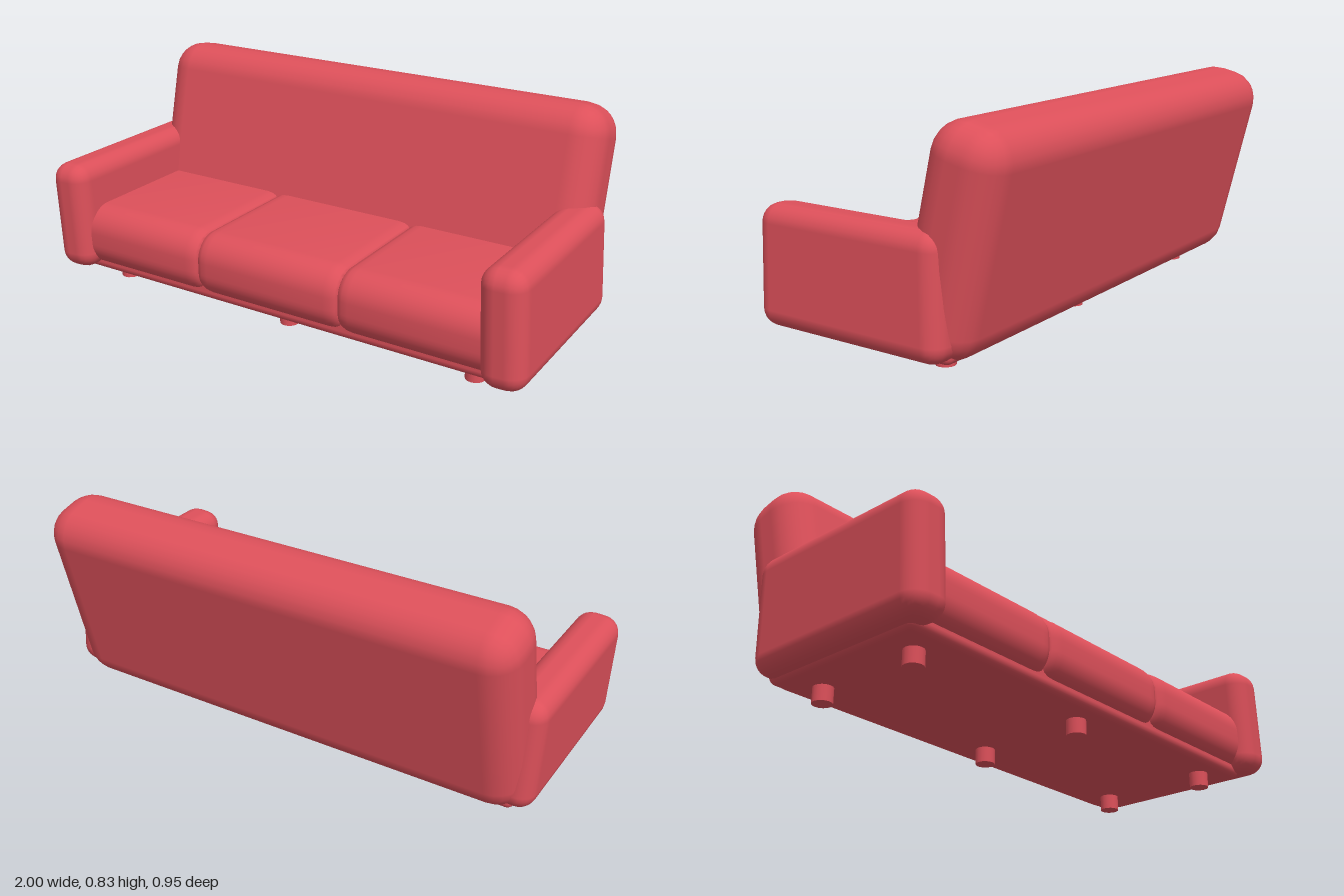
import * as THREE from 'three';
import { RoundedBoxGeometry } from 'three/addons/geometries/RoundedBoxGeometry.js';
import { toCreasedNormals } from 'three/addons/utils/BufferGeometryUtils.js';

const fabric = new THREE.MeshStandardMaterial({ color: 0xdd505a });
fabric.name = 'redFabric';

function add(group, name, geometry, x, y, z) {
  const mesh = new THREE.Mesh(geometry, fabric);
  mesh.name = name;
  mesh.position.set(x, y, z);
  group.add(mesh);
  return mesh;
}

// Side profile of a seat cushion: a rounded rectangle
function cushionProfile(w, h, r) {
  const s = new THREE.Shape();
  const x = w / 2 - r, y = h / 2 - r;
  s.absarc(x, y, r, 0, Math.PI / 2);
  s.absarc(-x, y, r, Math.PI / 2, Math.PI);
  s.absarc(-x, -y, r, Math.PI, Math.PI * 1.5);
  s.absarc(x, -y, r, Math.PI * 1.5, Math.PI * 2);
  s.closePath();
  return s;
}

export function createModel() {
  const sofa = new THREE.Group();
  sofa.name = 'sofa';

  // Base slab
  add(sofa, 'base', new RoundedBoxGeometry(1.84, 0.12, 0.68, 3, 0.03), 0, 0.117, 0.055);

  // Leaning backrest
  const back = add(sofa, 'backrest', new RoundedBoxGeometry(1.905, 0.78, 0.283, 3, 0.115), 0.002, 0.443, -0.272);
  back.rotation.x = -0.237;

  // Armrests, both leaning the same way, with a slightly sloped rear end
  const armGeometry = new RoundedBoxGeometry(0.165, 0.425, 0.773, 3, 0.065);
  const p = armGeometry.attributes.position;
  for (let i = 0; i < p.count; i++) {
    if (p.getZ(i) < 0) p.setZ(i, p.getZ(i) + p.getY(i) * 0.04);
  }
  for (const side of [-1, 1]) {
    const arm = add(sofa, side < 0 ? 'rightArmrest' : 'leftArmrest', armGeometry, side * 0.911, 0.283, 0.0915);
    arm.rotation.z = 0.045;
  }

  // Three seat cushions, extruded across the seat with softened seams
  const width = 0.606, seam = 0.05, puff = 0.02;
  const extruded = new THREE.ExtrudeGeometry(cushionProfile(0.64 - 2 * puff, 0.245 - 2 * puff, 0.08), {
    depth: width - 2 * seam, bevelThickness: seam, bevelSize: puff, bevelSegments: 3, curveSegments: 5,
  });
  extruded.translate(0, 0, seam - width / 2);
  extruded.rotateY(Math.PI / 2);
  const cushionGeometry = toCreasedNormals(extruded, 0.8);
  for (let i = -1; i <= 1; i++) {
    add(sofa, 'seatCushion', cushionGeometry, -0.015 + i * width, 0.2025, 0.12);
  }

  // Six short round legs
  const legGeometry = new THREE.CylinderGeometry(0.036, 0.036, 0.08, 16);
  [-0.783, 0, 0.765].forEach((x, i) => {
    add(sofa, 'frontLeg', legGeometry, x - 0.005, 0.04, 0.276 + i * 0.009);
    add(sofa, 'backLeg', legGeometry, x + 0.004, 0.04, -0.158 + i * 0.003);
  });

  return sofa;
}
